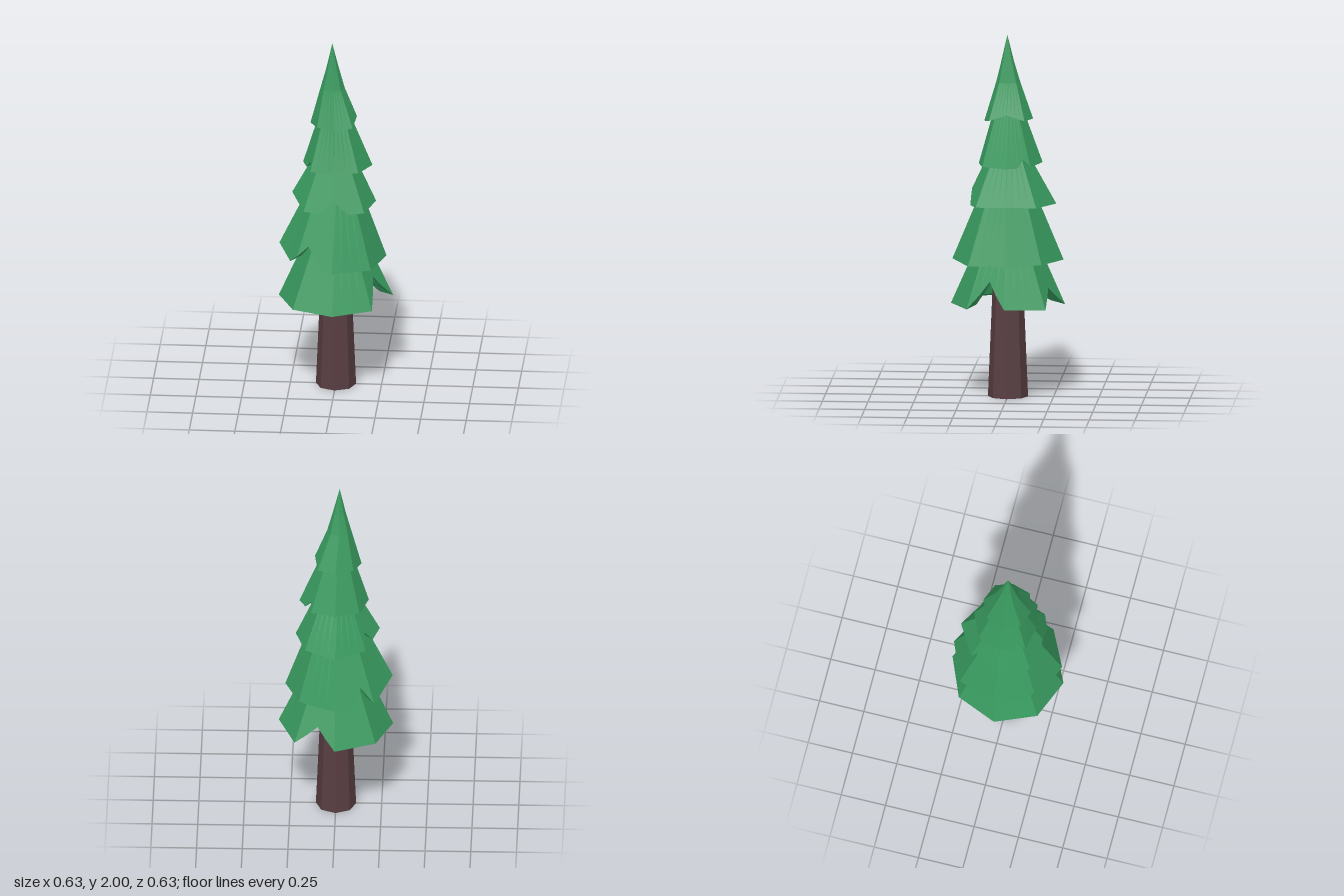
import * as THREE from 'three';

const SIDES = 8, SUB = 4, N = SIDES * SUB;

// Octagonal ring of N points, starting at +x and turning to +z; tweaks shift single corners outward and up
function ring(r, y, cx = 0, cz = 0, tweaks = {}) {
  const corners = Array.from({ length: SIDES }, (_, i) => {
    const a = (i / SIDES) * Math.PI * 2;
    const [dr, dy] = tweaks[i] ?? [0, 0];
    return new THREE.Vector3(cx + (r + dr) * Math.cos(a), y + dy, cz + (r + dr) * Math.sin(a));
  });
  return Array.from({ length: N }, (_, k) => {
    const i = Math.floor(k / SUB);
    return corners[i].clone().lerp(corners[(i + 1) % SIDES], (k % SUB) / SUB);
  });
}

// Joins successive rings into one flat-shaded skin
function loft(rings) {
  const pos = [];
  const tri = (...v) => v.forEach((p) => pos.push(p.x, p.y, p.z));
  for (let j = 0; j < rings.length - 1; j++) {
    for (let k = 0; k < N; k++) {
      const n = (k + 1) % N, a = rings[j], b = rings[j + 1];
      if (a[k].distanceTo(a[n]) > 1e-6) tri(a[k], b[k], a[n]);
      if (b[k].distanceTo(b[n]) > 1e-6) tri(a[n], b[k], b[n]);
    }
  }
  const g = new THREE.BufferGeometry();
  g.setAttribute('position', new THREE.Float32BufferAttribute(pos, 3));
  g.computeVertexNormals();
  return g;
}

// Hollow skirt of branches: triangular notches pull the rim up the slope towards the upper rings
function tierGeometry({ r, y, topR, topY, x = 0, tweaks, notches = [], tip }) {
  const top = ring(topR, topY, x);
  const rim = ring(r, y, 0, 0, tweaks);
  for (const { at, half, depth } of notches) {
    for (let d = 1 - half; d < half; d++) {
      const k = (at + d + N) % N;
      rim[k].lerp(top[k], depth * (1 - Math.abs(d) / half));
    }
  }
  const innerRim = rim.map((p) => new THREE.Vector3(p.x * 0.76, p.y + 0.02, p.z * 0.76));
  const upper = tip ?? [ring(0, topY + 0.05, x)];
  return loft([ring(0, topY - 0.03, x), ring(topR * 0.8, topY - 0.04, x), innerRim, rim, top, ...upper]);
}

// Tiers from the bottom up; notch positions count in 32nds of a turn
const TIERS = [
  {
    r: 0.313, y: 0.513, topR: 0.12, topY: 0.95,
    tweaks: { 0: [0, 0.015], 1: [-0.013, 0] },
    notches: [{ at: 2, half: 2, depth: 0.34 }, { at: 26, half: 2, depth: 0.24 }],
  },
  {
    r: 0.305, y: 0.76, topR: 0.1, topY: 1.25,
    tweaks: { 0: [-0.028, 0], 1: [-0.015, -0.01], 4: [0.005, 0.06], 7: [-0.025, 0] },
    notches: [{ at: 11, half: 2, depth: 0.24 }, { at: 21, half: 1, depth: 0.2 }],
  },
  {
    r: 0.235, y: 1.07, topR: 0.08, topY: 1.4, x: -0.005,
    tweaks: { 0: [-0.015, 0.01], 4: [0.005, 0.05], 6: [0.03, 0] },
    notches: [{ at: 8, half: 2, depth: 0.25 }, { at: 19, half: 1, depth: 0.22 }],
  },
  {
    r: 0.187, y: 1.29, topR: 0.06, topY: 1.65, x: -0.01,
    tweaks: { 0: [0.013, 0], 2: [-0.027, 0], 4: [-0.007, 0.01], 6: [0.003, 0.01] },
    notches: [{ at: 13, half: 1, depth: 0.12 }, { at: 29, half: 1, depth: 0.12 }],
  },
  {
    r: 0.138, y: 1.54, topR: 0.066, topY: 1.74, x: -0.018,
    tweaks: { 0: [-0.023, 0.035], 2: [-0.008, -0.015], 4: [0.002, -0.01] },
    tip: [ring(0.036, 1.85, -0.018, 0.003), ring(0, 2, -0.02, 0.005)],
  },
];

export function createModel() {
  const green = new THREE.MeshStandardMaterial({ color: 0x38995e, flatShading: true });
  green.name = 'needleGreen';
  const brown = new THREE.MeshStandardMaterial({ color: 0x573d41, flatShading: true });
  brown.name = 'barkBrown';

  const tree = new THREE.Group();
  tree.name = 'pineTree';

  // Tapered eight-sided trunk, running up inside the foliage
  const trunk = new THREE.Mesh(new THREE.CylinderGeometry(0.07, 0.11, 0.95, SIDES), brown);
  trunk.position.y = 0.475;
  trunk.name = 'trunk';
  tree.add(trunk);

  // Stacked skirts of branches, the last one drawn out to the tip
  const foliage = new THREE.Group();
  foliage.name = 'foliage';
  TIERS.forEach((tier, i) => {
    const mesh = new THREE.Mesh(tierGeometry(tier), green);
    mesh.name = `branchTier${i + 1}`;
    foliage.add(mesh);
  });
  tree.add(foliage);
  return tree;
}
